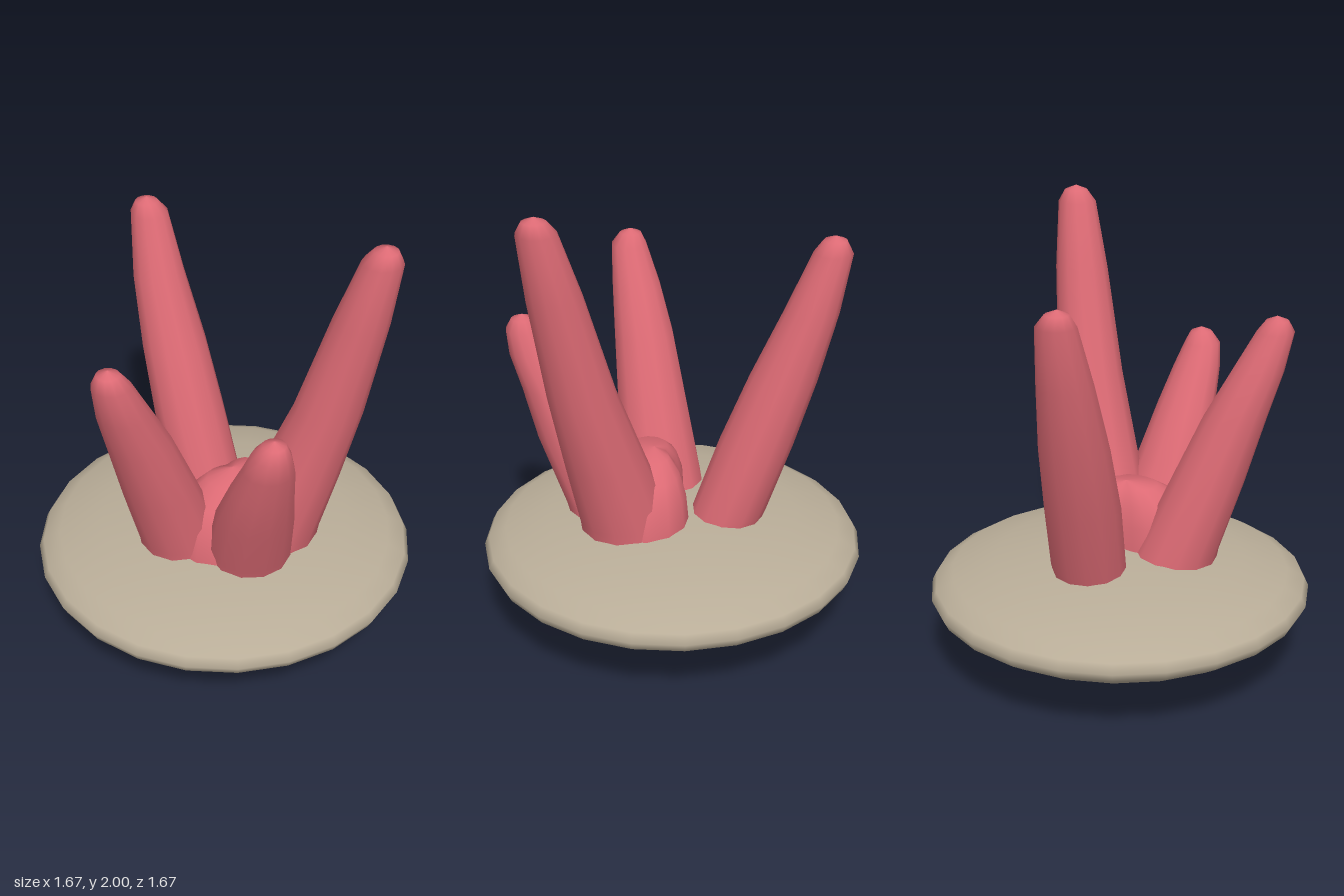
import * as THREE from 'three';

const coral = new THREE.MeshStandardMaterial({ color: 0xdc6a74 });
coral.name = 'coral red';
const stone = new THREE.MeshStandardMaterial({ color: 0xb9ad98 });
stone.name = 'sandy stone';

// Skin horizontal rings [x, y, z, radius], listed from bottom to top
function loft(rings, sides, outline = () => 1) {
  const pos = [], index = [];
  for (const [x, y, z, r] of rings) {
    for (let j = 0; j < sides; j++) {
      const a = (j / sides) * Math.PI * 2;
      const k = r * outline(a);
      pos.push(x + Math.cos(a) * k, y, z + Math.sin(a) * k);
    }
  }
  for (let i = 0; i < rings.length - 1; i++) {
    for (let j = 0; j < sides; j++) {
      const a = i * sides + j, b = i * sides + ((j + 1) % sides);
      index.push(a, a + sides, b, b, a + sides, b + sides);
    }
  }
  const g = new THREE.BufferGeometry();
  g.setAttribute('position', new THREE.Float32BufferAttribute(pos, 3));
  g.setIndex(index);
  g.computeVertexNormals();
  return g;
}

function add(group, name, geometry, material) {
  const mesh = new THREE.Mesh(geometry, material);
  mesh.name = name;
  group.add(mesh);
}

export function createModel() {
  const group = new THREE.Group();
  group.name = 'coralOnDisc';

  // Flattened round base
  const profile = [[0, 0.15], [0.3, 0.155], [0.55, 0.19], [0.74, 0.26], [0.815, 0.31], [0.835, 0.35],
    [0.815, 0.39], [0.74, 0.435], [0.55, 0.485], [0.28, 0.525], [0, 0.535]];
  add(group, 'disc', new THREE.LatheGeometry(profile.map(([r, y]) => new THREE.Vector2(r, y)), 24), stone);

  // Kidney-shaped core, bulging to the front left and pinched at the back right
  const kidney = (a) => {
    const p = a - Math.PI / 4;
    return 0.285 + 0.09 * Math.cos(p) - 0.065 * Math.cos(2 * p);
  };
  const core = (rows) => loft(rows.map(([y, k]) => [0.05, y, 0.06, k]), 20, kidney);
  add(group, 'underside', core([[0, 0], [0.005, 0.25], [0.03, 0.6], [0.07, 0.82], [0.12, 0.95],
    [0.18, 1], [0.3, 0.9]]), coral);
  add(group, 'hub', core([[0.4, 0.92], [0.52, 0.9], [0.64, 0.83], [0.73, 0.66], [0.79, 0.38],
    [0.81, 0]]), coral);

  // Tapered horns: a few axis rings, then a rounded tip
  const horns = {
    tallHorn: [[0.2, 0.4, 0.06, 0.21], [0.235, 0.55, 0.065, 0.2], [0.34, 0.85, 0.075, 0.175],
      [0.455, 1.2, 0.09, 0.145], [0.57, 1.65, 0.11, 0.115], [0.64, 1.93, 0.125, 0.083]],
    backHorn: [[-0.1, 0.4, -0.18, 0.155], [-0.13, 0.54, -0.22, 0.16], [-0.22, 0.85, -0.29, 0.16],
      [-0.3, 1.15, -0.365, 0.145], [-0.38, 1.45, -0.44, 0.115], [-0.43, 1.71, -0.5, 0.082]],
    frontRightHorn: [[-0.14, 0.4, 0.17, 0.19], [-0.16, 0.54, 0.2, 0.18], [-0.215, 0.85, 0.31, 0.16],
      [-0.27, 1.15, 0.41, 0.135], [-0.31, 1.35, 0.49, 0.11], [-0.335, 1.52, 0.555, 0.08]],
    frontLeftHorn: [[0.14, 0.4, 0.2, 0.19], [0.16, 0.54, 0.25, 0.18], [0.205, 0.83, 0.39, 0.165],
      [0.25, 1.05, 0.48, 0.13], [0.285, 1.2, 0.55, 0.105], [0.3, 1.3, 0.585, 0.08]],
  };
  for (const [name, rings] of Object.entries(horns)) {
    const [x, y, z, r] = rings[rings.length - 1];
    const dx = Math.sign(x) * 0.01;
    const tip = [[x + dx, y + 0.05, z, r * 0.6], [x + dx, y + 0.07, z, 0]];
    add(group, name, loft([...rings, ...tip], 12), coral);
  }
  return group;
}
